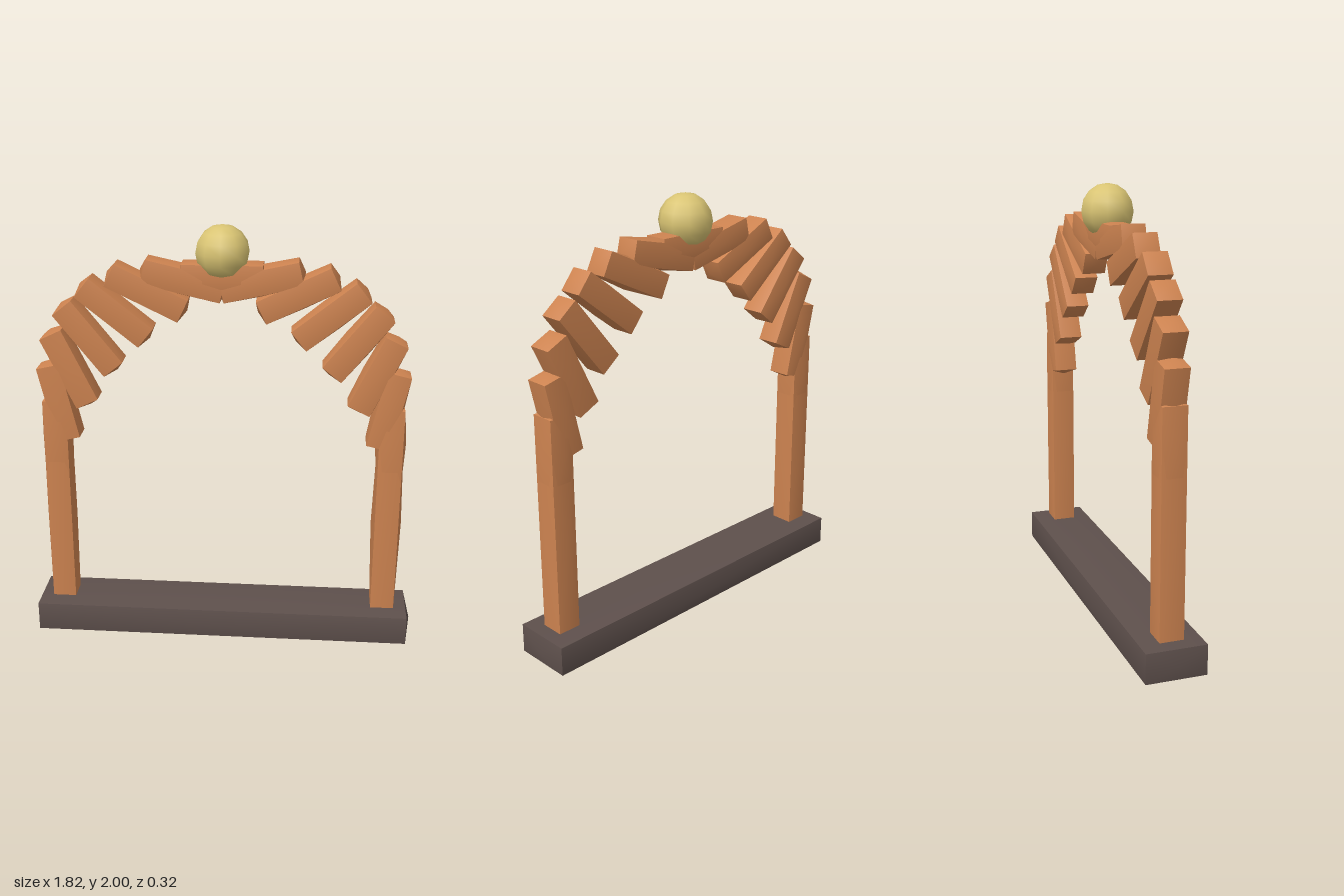
import * as THREE from 'three';
import { toCreasedNormals } from 'three/addons/utils/BufferGeometryUtils.js';

const wood = new THREE.MeshStandardMaterial({ name: 'orange wood', color: 0xcd8350 });
const stone = new THREE.MeshStandardMaterial({ name: 'dark stone', color: 0x5e504c });
const gold = new THREE.MeshStandardMaterial({ name: 'pale gold', color: 0xd9c473 });

// Box given by half sizes, with the centre of every face pushed out into a low pyramid
function pillowBox(half, bulge) {
  const points = [];
  for (let axis = 0; axis < 3; axis++) {
    const u = (axis + 1) % 3, v = (axis + 2) % 3;
    for (const side of [-1, 1]) {
      const at = (a, b, out) => {
        const p = [0, 0, 0];
        p[axis] = side * (half[axis] + out);
        p[u] = a * half[u];
        p[v] = b * half[v];
        return p;
      };
      const ring = [[-1, -1], [1, -1], [1, 1], [-1, 1]];
      if (side < 0) ring.reverse();
      const apex = at(0, 0, bulge[axis]);
      ring.forEach((c, i) => {
        const next = ring[(i + 1) % 4];
        points.push(...at(c[0], c[1], 0), ...at(next[0], next[1], 0), ...apex);
      });
    }
  }
  const geometry = new THREE.BufferGeometry();
  geometry.setAttribute('position', new THREE.Float32BufferAttribute(points, 3));
  return toCreasedNormals(geometry, 0.7);
}

export function createModel() {
  const model = new THREE.Group();
  model.name = 'arch';
  const add = (name, geometry, material, x, y, tilt = 0) => {
    const mesh = new THREE.Mesh(geometry, material);
    mesh.name = name;
    mesh.position.set(x, y, 0);
    mesh.rotation.z = tilt;
    model.add(mesh);
    return mesh;
  };

  // Base slab
  add('base', pillowBox([0.89, 0.069, 0.138], [0.022, 0.022, 0.024]), stone, 0, 0.094);

  // Two posts
  const radius = 0.775, springY = 1.0;
  const post = pillowBox([0.055, 0.43, 0.055], [0.016, 0.016, 0.016]);
  add('leftPost', post, wood, radius, 0.6);
  add('rightPost', post, wood, -radius, 0.6);

  // Fifteen blocks around a half circle, each leaning outwards
  const block = pillowBox([0.055, 0.18, 0.055], [0.016, 0.018, 0.016]);
  const steps = 14;
  for (let i = 0; i <= steps; i++) {
    const a = (i / steps) * Math.PI;
    add('archBlock' + (i + 1), block, wood,
      radius * Math.cos(a), springY + radius * Math.sin(a), -a);
  }

  // Ball on the crown
  const ball = add('crownBall', new THREE.SphereGeometry(0.122, 10, 8), gold, 0, 1.878);
  ball.rotation.y = Math.PI / 2;
  return model;
}
